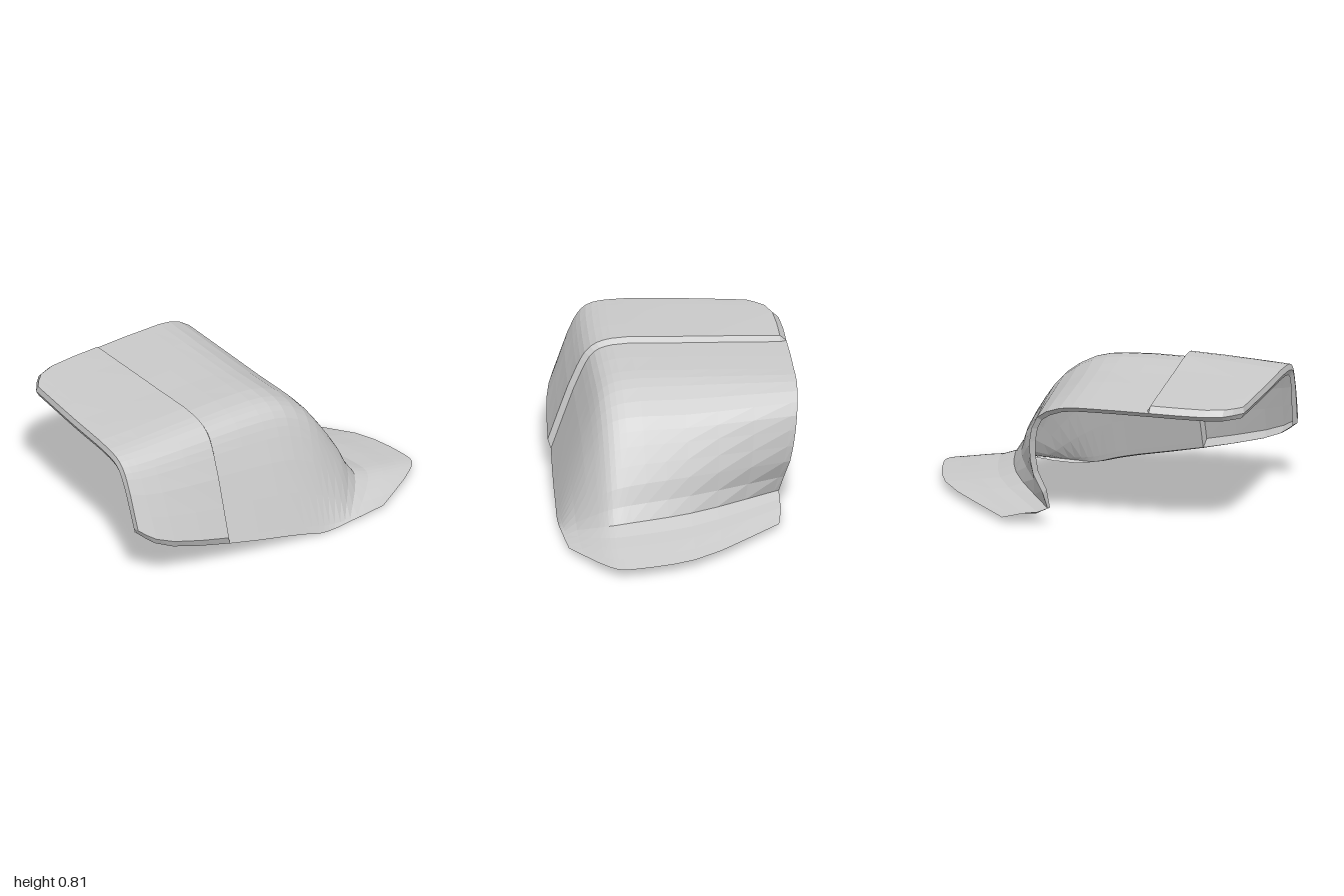
import * as THREE from 'three';

const rail = (...pts) => new THREE.CatmullRomCurve3(pts.map(p => new THREE.Vector3(...p)));

// Four rails run from the left rim, over the top, down the side wall and out to the flared lip.
const backRail = rail([-0.925, 0.73, -0.52], [-0.8, 0.735, -0.65], [-0.4, 0.742, -0.68], [-0.05, 0.745, -0.68],
  [0.1, 0.735, -0.68], [0.23, 0.67, -0.67], [0.275, 0.52, -0.655], [0.26, 0.32, -0.625],
  [0.19, 0.11, -0.57], [0.33, 0.07, -0.565], [0.46, 0.03, -0.54]);
const midRail = rail([-0.968, 0.742, -0.1], [-0.85, 0.75, -0.07], [-0.4, 0.768, -0.05], [-0.05, 0.768, -0.05],
  [0.1, 0.743, -0.05], [0.27, 0.645, -0.05], [0.36, 0.52, -0.05], [0.44, 0.34, -0.05],
  [0.49, 0.14, -0.05], [0.69, 0.088, -0.05], [0.9, 0.05, -0.03]);
const shoulderRail = rail([-1, 0.742, 0.39], [-0.88, 0.75, 0.4], [-0.4, 0.778, 0.42], [-0.05, 0.776, 0.42],
  [0.12, 0.745, 0.42], [0.28, 0.645, 0.42], [0.39, 0.51, 0.42], [0.51, 0.32, 0.42],
  [0.61, 0.14, 0.42], [0.81, 0.09, 0.43], [1.025, 0.055, 0.42]);
const bottomRail = rail([-0.988, 0.36, 0.53], [-0.86, 0.265, 0.595], [-0.42, 0.14, 0.645], [-0.05, 0.065, 0.67],
  [0.08, 0.035, 0.675], [0.17, 0.01, 0.68], [0.24, 0.003, 0.68], [0.31, 0.006, 0.68],
  [0.38, 0.01, 0.675], [0.48, 0.015, 0.67], [0.62, 0.022, 0.66]);

// A rib crosses the rails from back to front, with a rounded bend at the shoulder.
function rib(s) {
  const [b, m, sh, f] = [backRail, midRail, shoulderRail, bottomRail].map(r => r.getPoint(s));
  const before = sh.clone().lerp(m, 0.25);
  const after = sh.clone().lerp(f, 0.25);
  const bend = before.clone().add(after).multiplyScalar(0.25).addScaledVector(sh, 0.5);
  return new THREE.CatmullRomCurve3([b, m, before, bend, after, f]);
}
const surface = (s, t) => rib(s).getPoint(t);

// Point on the surface moved along its outward normal
function offset(s, t, d) {
  const e = 0.01, s0 = Math.max(0, s - e), s1 = Math.min(1, s + e);
  const t0 = Math.max(0, t - e), t1 = Math.min(1, t + e);
  const ds = surface(s1, t).sub(surface(s0, t));
  const dt = surface(s, t1).sub(surface(s, t0));
  const p = surface(s, t).addScaledVector(dt.cross(ds).normalize(), d);
  p.y = Math.max(0, p.y);
  return p;
}

const { clamp, smoothstep } = THREE.MathUtils;
const steps = (a, b, n) => Array.from({ length: n + 1 }, (_, i) => a + (b - a) * i / n);

// Sample lines, with narrow bands for the panel's bevel and its step
const PANEL_END = 0.2;
const us = [0, ...steps(0.01, PANEL_END - 0.004, 5), ...steps(PANEL_END, 1, 16)];
const vs = [0, ...steps(0.012, 0.985, 15), 1];
const nu = us.length, nv = vs.length;

// The panel stands proud of the rest of the skin and slopes down to the rim
const raise = (i, j) =>
  us[i] < PANEL_END && i > 0 && j > 0 && j < nv - 1 ? 0.032 : 0;
const at = (i, j) => i * nv + j;

function toFlat(points, quads) {
  const g = new THREE.BufferGeometry().setFromPoints(points);
  g.setIndex(quads.flatMap(([a, b, c, d]) => [a, b, c, a, c, d]));
  const flat = g.toNonIndexed();
  flat.computeVertexNormals();
  return flat;
}

// Thin skin over columns i0 to i1
function skin(i0, i1) {
  const points = [], quads = [];
  for (let i = i0; i <= i1; i++)
    for (let j = 0; j < nv; j++) {
      points.push(offset(us[i], vs[j], raise(i, j)));
      if (i < i1 && j < nv - 1) {
        const a = at(i - i0, j);
        quads.push([a, a + 1, a + nv + 1, a + nv]);
      }
    }
  return toFlat(points, quads);
}

// Flange folded inwards all round the border, flattening along the flared lip
function flange() {
  const loop = [];
  for (let i = 0; i < nu - 1; i++) loop.push([us[i], 1]);
  for (let j = nv - 1; j > 0; j--) loop.push([1, vs[j]]);
  for (let i = nu - 1; i > 0; i--) loop.push([us[i], 0]);
  for (let j = 0; j < nv - 1; j++) loop.push([0, vs[j]]);
  const points = [], quads = [], n = loop.length;
  loop.forEach(([s, t], k) => {
    const depth = 0.032 * (1 - 0.88 * smoothstep(s, 0.7, 1));
    points.push(surface(s, t), offset(clamp(s, 0.012, 0.985), clamp(t, 0.01, 0.99), -depth));
    const a = 2 * k, b = 2 * ((k + 1) % n);
    quads.push([b, a, a + 1, b + 1]);
  });
  return toFlat(points, quads);
}

export function createModel() {
  const group = new THREE.Group();
  const material = new THREE.MeshStandardMaterial({
    color: 0xcccccc, flatShading: true, side: THREE.DoubleSide });
  const add = (name, geometry) => {
    const mesh = new THREE.Mesh(geometry, material);
    mesh.name = name;
    group.add(mesh);
  };

  const seam = us.indexOf(PANEL_END);
  add('raisedPanel', skin(0, seam));
  add('coverShell', skin(seam, nu - 1));
  add('rimFlange', flange());
  return group;
}
